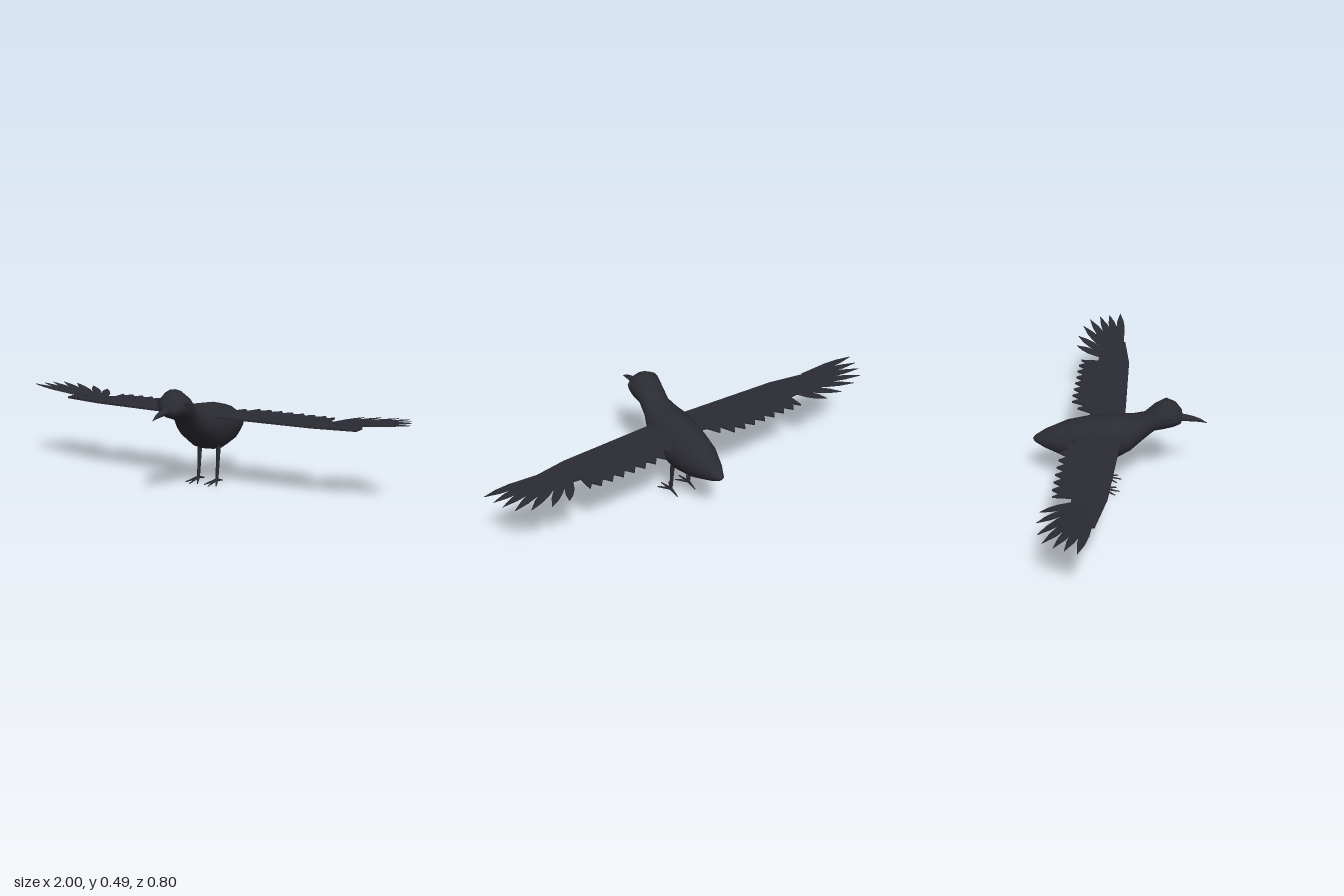
import * as THREE from 'three';

const plumage = new THREE.MeshStandardMaterial({ color: 0x2b2b33 });
plumage.name = 'charcoal plumage';

function add(parent, name, geometry) {
  const mesh = new THREE.Mesh(geometry, plumage);
  mesh.name = name;
  parent.add(mesh);
  return mesh;
}

// Skin over elliptical sections [z, top, bottom, halfWidth], ordered towards +z
function loft(sections, sides) {
  const pos = [], index = [];
  sections.forEach(([z, top, bottom, w], i) => {
    for (let j = 0; j < sides; j++) {
      const a = (j / sides) * Math.PI * 2;
      pos.push(Math.cos(a) * w, (top + bottom) / 2 + Math.sin(a) * (top - bottom) / 2, z);
      if (i === sections.length - 1) continue;
      const p = i * sides + j, q = i * sides + (j + 1) % sides;
      index.push(p, q, p + sides, q, q + sides, p + sides);
    }
  });
  const g = new THREE.BufferGeometry();
  g.setAttribute('position', new THREE.Float32BufferAttribute(pos, 3));
  g.setIndex(index);
  g.computeVertexNormals();
  return g;
}

// Flat horizontal plate from [x, z] outline points
function plate(points, side, y, depth) {
  const shape = new THREE.Shape(points.map(([x, z]) => new THREE.Vector2(x * side, -z)));
  const g = new THREE.ExtrudeGeometry(shape, { depth, bevelEnabled: false });
  return g.rotateX(-Math.PI / 2).translate(0, y, 0);
}

// Tapered rod between two points
function rod(from, to, r0, r1, sides) {
  const a = new THREE.Vector3(...from), b = new THREE.Vector3(...to);
  const dir = b.clone().sub(a);
  const g = new THREE.CylinderGeometry(r1, r0, dir.length(), sides);
  g.applyQuaternion(new THREE.Quaternion().setFromUnitVectors(new THREE.Vector3(0, 1, 0), dir.normalize()));
  const m = a.add(b).multiplyScalar(0.5);
  return g.translate(m.x, m.y, m.z);
}

function createWing(side) {
  const wing = new THREE.Group();
  wing.name = side > 0 ? 'leftWing' : 'rightWing';

  // Inner wing with a saw-toothed trailing edge
  const inner = [[0.03, 0.02], [0.1, 0.02], [0.57, 0], [0.575, -0.15], [0.575, -0.235]];
  for (let i = 0; i < 8; i++) {
    const x = 0.55 - i * 0.056;
    const lift = Math.max(0, 0.22 - x) * 0.6;
    inner.push([x, -0.205 + lift], [x - 0.026, -0.243 + lift]);
  }
  inner.push([0.1, -0.145], [0.03, -0.13]);
  add(wing, 'innerWing', plate(inner, side, 0.331, 0.009));

  // Outer hand carrying the long feathers
  const hand = [[0.56, 0], [0.57, 0], [0.77, -0.035], [0.77, -0.1], [0.68, -0.145], [0.56, -0.155]];
  add(wing, 'wingHand', plate(hand, side, 0.331, 0.009));

  // Fanned, gently rising flight feathers
  const tips = [[0.7, -0.272], [0.785, -0.274], [0.875, -0.258], [0.937, -0.23],
    [0.967, -0.182], [0.985, -0.135], [1, -0.08]];
  tips.forEach(([tx, tz], i) => {
    const bx = 0.61 + i * 0.02, bz = -0.12 + i * 0.011;
    const len = Math.hypot(tx - bx, tz - bz);
    const ux = (tx - bx) / len, uz = (tz - bz) / len;
    const outline = [[0, 0.014], [0.5, 0.021], [0.75, 0.016], [1, 0], [0.75, -0.016], [0.5, -0.021], [0, -0.014]]
      .map(([t, w]) => [bx + ux * len * t - uz * w, bz + uz * len * t + ux * w]);
    const g = plate(outline, side, 0.336 + i * 0.0004, 0.003);
    const p = g.attributes.position;
    for (let k = 0; k < p.count; k++) {
      p.setY(k, p.getY(k) + Math.max(0, Math.abs(p.getX(k)) - 0.6) * 0.088);
    }
    g.computeVertexNormals();
    add(wing, 'flightFeather', g);
  });
  return wing;
}

function createLeg(side) {
  const leg = new THREE.Group();
  leg.name = side > 0 ? 'leftLeg' : 'rightLeg';
  const x = side * 0.05;
  add(leg, 'shank', rod([x, 0.18, -0.09], [x, 0.014, -0.075], 0.011, 0.007, 8));
  // Three toes forward, one back
  [[0, 0.006], [0.032, -0.012], [-0.032, -0.012], [0, -0.128]].forEach(([dx, z]) => {
    add(leg, 'toe', rod([x, 0.017, -0.075], [x + dx, 0.003, z], 0.007, 0.0025, 6));
  });
  return leg;
}

export function createModel() {
  const bird = new THREE.Group();
  bird.name = 'bird';

  // Body, neck and head in one skin
  add(bird, 'body', loft([
    [-0.4, 0.247, 0.245, 0.001],
    [-0.39, 0.262, 0.232, 0.018],
    [-0.34, 0.297, 0.205, 0.046],
    [-0.24, 0.345, 0.166, 0.085],
    [-0.127, 0.374, 0.148, 0.106],
    [-0.02, 0.387, 0.173, 0.111],
    [0.057, 0.39, 0.225, 0.094],
    [0.115, 0.41, 0.284, 0.07],
    [0.163, 0.459, 0.332, 0.068],
    [0.211, 0.487, 0.346, 0.076],
    [0.254, 0.468, 0.361, 0.066],
    [0.283, 0.432, 0.375, 0.042],
    [0.29, 0.406, 0.395, 0.002],
  ], 16));

  // Down-curved beak
  add(bird, 'beak', loft([
    [0.27, 0.417, 0.381, 0.021],
    [0.3, 0.414, 0.382, 0.019],
    [0.34, 0.406, 0.381, 0.013],
    [0.37, 0.395, 0.379, 0.008],
    [0.4, 0.376, 0.374, 0.001],
  ], 10));

  for (const side of [1, -1]) {
    add(bird, 'eye', new THREE.SphereGeometry(0.011, 12, 8)).position.set(side * 0.068, 0.433, 0.233);
    bird.add(createWing(side), createLeg(side));
  }
  return bird;
}
